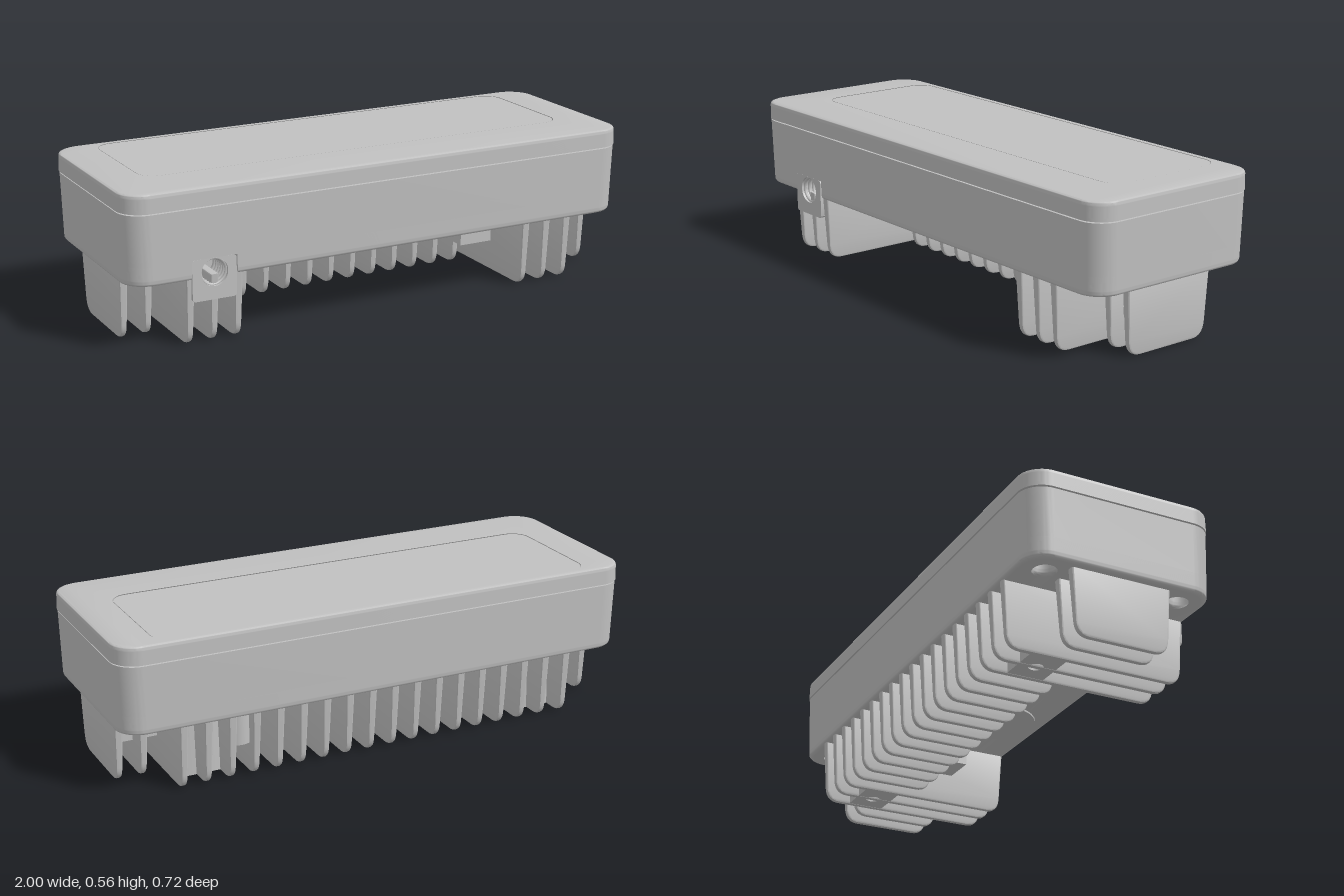
import * as THREE from 'three';
import { toCreasedNormals } from 'three/addons/utils/BufferGeometryUtils.js';

const grey = new THREE.MeshStandardMaterial({ color: 0xc0c0c0 });
grey.name = 'cast grey';

function mesh(name, geometry, x = 0, y = 0, z = 0) {
  const m = new THREE.Mesh(geometry, grey);
  m.name = name;
  m.position.set(x, y, z);
  return m;
}

// Rounded rectangle outline, written into a Shape or a Path
function roundRect(x0, x1, y0, y1, r, path = new THREE.Shape()) {
  path.moveTo(x0 + r, y0);
  path.lineTo(x1 - r, y0).absarc(x1 - r, y0 + r, r, -Math.PI / 2, 0);
  path.lineTo(x1, y1 - r).absarc(x1 - r, y1 - r, r, 0, Math.PI / 2);
  path.lineTo(x0 + r, y1).absarc(x0 + r, y1 - r, r, Math.PI / 2, Math.PI);
  path.lineTo(x0, y0 + r).absarc(x0 + r, y0 + r, r, Math.PI, Math.PI * 1.5);
  return path;
}

const circle = (x, y, r) => new THREE.Path().absarc(x, y, r, 0, Math.PI * 2, true);

// Upright slab from a plan shape (shape y becomes z); inset(y) draws the walls in
function slab(shape, y0, y1, inset = () => 0, steps = 1) {
  const g = new THREE.ExtrudeGeometry(shape, { depth: y1 - y0, steps, bevelEnabled: false, curveSegments: 10 });
  g.rotateX(Math.PI / 2).translate(0, y1, 0);
  const p = g.attributes.position;
  for (let i = 0; i < p.count; i++) {
    const d = inset(p.getY(i));
    p.setX(i, p.getX(i) * (1 - d));
    p.setZ(i, p.getZ(i) * (1 - d / 0.36));
  }
  return toCreasedNormals(g, 0.6);
}

// Draft of the lower housing plus the rounded bottom edge
function housingInset(y) {
  const t = Math.max(0, (0.256 - y) / 0.016);
  return 0.002 + (0.495 - y) * 0.024 + 0.014 * (1 - Math.sqrt(Math.max(0, 1 - t * t)));
}

// Rounded top edge of the lid
function lidInset(y) {
  const t = Math.max(0, (y - 0.555) / 0.01);
  return 0.008 * (1 - Math.sqrt(Math.max(0, 1 - t * t))) + (y - 0.5) * 0.02;
}

// Cooling fin between two z positions: rounded lower corners, thinner at the foot
function fin(z0, z1) {
  const r = 0.055, h = 0.25, d = 0.012;
  const s = new THREE.Shape();
  s.moveTo(z0, h);
  s.lineTo(z0 + d, r).quadraticCurveTo(z0 + d + 0.004, 0, z0 + d + r, 0);
  s.lineTo(z1 - d - r, 0).quadraticCurveTo(z1 - d - 0.004, 0, z1 - d, r);
  s.lineTo(z1, h);
  const g = new THREE.ExtrudeGeometry(s, {
    depth: 0.012, bevelEnabled: true, bevelThickness: 0.008, bevelSize: 0.006, bevelOffset: -0.006,
    bevelSegments: 2, curveSegments: 8,
  });
  g.translate(0, 0, -0.006).rotateY(-Math.PI / 2);
  const p = g.attributes.position;
  for (let i = 0; i < p.count; i++) {
    // shape x runs along +z after the turn
    p.setX(i, p.getX(i) * (0.72 + 1.6 * p.getY(i)));
  }
  return toCreasedNormals(g, 0.7);
}

export function createModel() {
  const model = new THREE.Group();
  model.name = 'finnedEnclosure';

  // Lower housing: the bottom layer has a notch for the cable port and four screw holes
  const bx0 = -0.765, bx1 = -0.6, R = 0.09;
  const plan = new THREE.Shape();
  plan.moveTo(-1 + R, -0.36);
  plan.lineTo(1 - R, -0.36).absarc(1 - R, -0.36 + R, R, -Math.PI / 2, 0);
  plan.lineTo(1, 0.36 - R).absarc(1 - R, 0.36 - R, R, 0, Math.PI / 2);
  plan.lineTo(bx1, 0.36).lineTo(bx1, 0.22).lineTo(bx0, 0.22).lineTo(bx0, 0.36);
  plan.lineTo(-1 + R, 0.36).absarc(-1 + R, 0.36 - R, R, Math.PI / 2, Math.PI);
  plan.lineTo(-1, -0.36 + R).absarc(-1 + R, -0.36 + R, R, Math.PI, Math.PI * 1.5);
  for (const sx of [-1, 1]) for (const sz of [-1, 1]) plan.holes.push(circle(sx * 0.915, sz * 0.268, 0.045));
  model.add(mesh('housingBase', slab(plan, 0.24, 0.312, housingInset, 18)));
  model.add(mesh('housingWall', slab(roundRect(-1, 1, -0.36, 0.36, R), 0.312, 0.494, housingInset)));
  model.add(mesh('seamCore', slab(roundRect(-0.985, 0.985, -0.345, 0.345, 0.08), 0.49, 0.55)));

  // Lid with a narrow groove around the inlaid panel
  const lid = roundRect(-1, 1, -0.36, 0.36, R);
  lid.holes.push(roundRect(-0.86, 0.86, -0.34, 0.16, 0.07, new THREE.Path()));
  model.add(mesh('lid', slab(lid, 0.499, 0.565, lidInset, 26)));
  model.add(mesh('lidPanel', slab(roundRect(-0.849, 0.849, -0.329, 0.151, 0.064), 0.54, 0.564)));

  // Cable port with a threaded bore
  const port = new THREE.Group();
  port.name = 'cablePort';
  const face = roundRect(bx0, bx1, 0.163, 0.312, 0.012);
  face.holes.push(circle(-0.682, 0.26, 0.05));
  const block = new THREE.ExtrudeGeometry(face, { depth: 0.134, bevelEnabled: false, curveSegments: 16 });
  port.add(mesh('portBlock', toCreasedNormals(block, 0.6), 0, 0, 0.22));
  port.add(mesh('portFloor', new THREE.BoxGeometry(0.15, 0.14, 0.02), -0.682, 0.238, 0.215));
  for (let i = 0; i < 6; i++) {
    port.add(mesh('thread', new THREE.TorusGeometry(0.048, 0.006, 6, 32), -0.682, 0.26, 0.245 + i * 0.019));
  }
  model.add(port);

  // Fins: short at the ends, full depth over the feet, rear only in the middle
  const shortFin = fin(-0.187, 0.187), fullFin = fin(-0.345, 0.345), rearFin = fin(-0.345, 0.0);
  for (let i = 0; i < 22; i++) {
    const edge = Math.min(i, 21 - i);
    const g = edge < 2 ? shortFin : edge < 5 ? fullFin : rearFin;
    model.add(mesh('fin', g, -0.947 + i * 0.0902));
  }

  // Mounting posts with screw holes between the full fins
  for (const x of [-0.677, 0.677]) {
    const s = roundRect(x - 0.088, x + 0.088, -0.235, -0.1, 0.01);
    s.holes.push(circle(x, -0.17, 0.026));
    model.add(mesh('mountingPost', slab(s, 0.003, 0.25)));
  }

  // Connector block and its pin housing among the fins
  model.add(mesh('connectorBlock', new THREE.BoxGeometry(0.48, 0.13, 0.22), 0.68, 0.182, 0.01));
  model.add(mesh('connectorPost', new THREE.CylinderGeometry(0.05, 0.05, 0.13, 24), 0.54, 0.182, -0.26));

  // Shallow round pads on the underside
  for (const [x, r] of [[-0.205, 0.13], [0.265, 0.16]]) {
    model.add(mesh('undersidePad', new THREE.CylinderGeometry(r, r, 0.02, 48), x, 0.243, 0.15));
  }
  return model;
}
